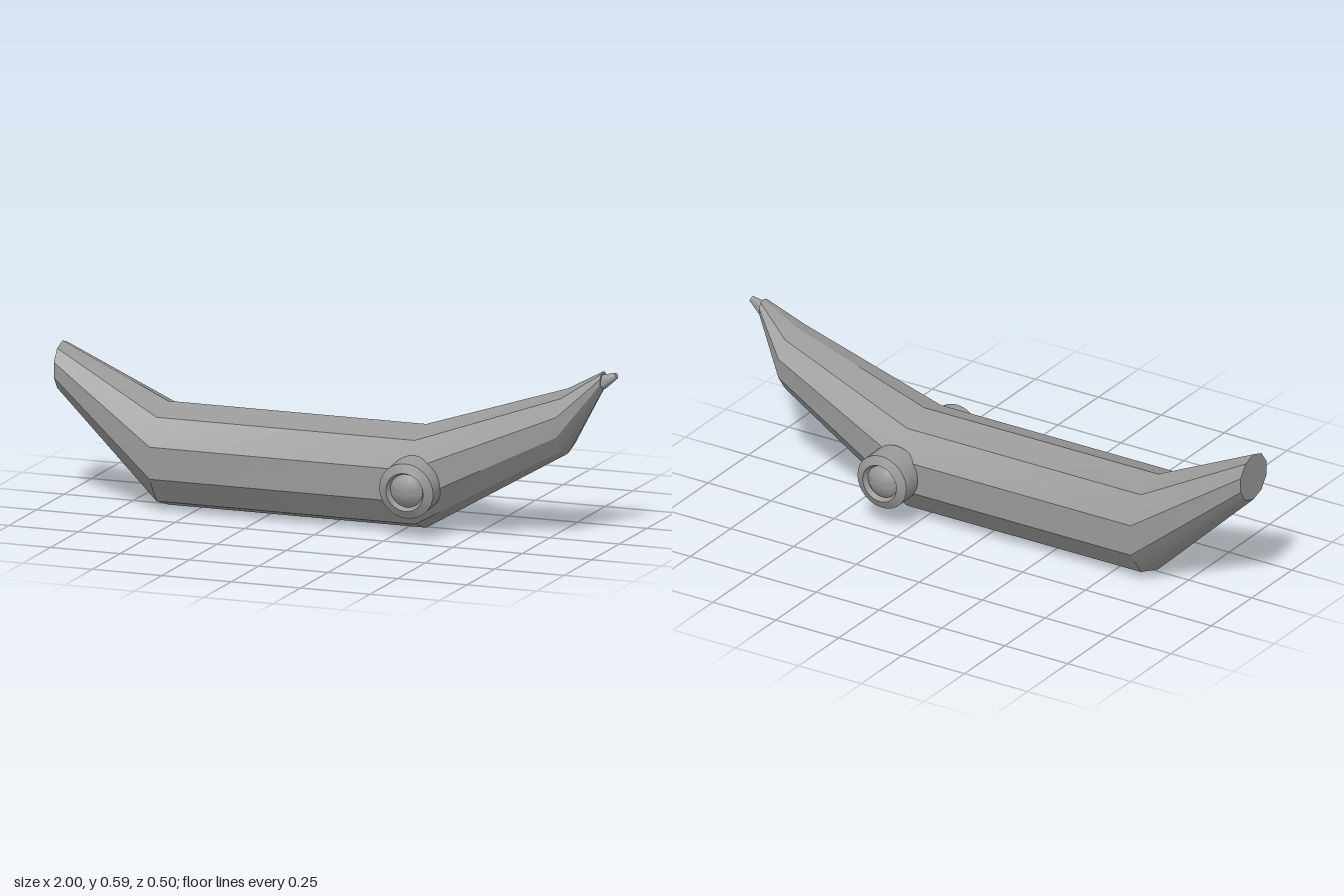
import * as THREE from 'three';
import { toCreasedNormals } from 'three/addons/utils/BufferGeometryUtils.js';

const SIDES = 10;
const CENTRE_Z = 0.012;
const CREASE = 0.55;

// Hull stations from stern to nose: x, centre height, radius
const STATIONS = [
  [-1.0, 0.447, 0.084],
  [-0.62, 0.178, 0.178],
  [0.31, 0.178, 0.178],
  [0.82, 0.41, 0.112],
  [0.947, 0.56, 0.031],
];

// Ten-sided rings joined in a loop, closed at both ends
function hullGeometry() {
  const positions = [];
  const point = ([x, y, r], j) => {
    const a = -Math.PI / 2 + (j / SIDES) * Math.PI * 2;
    return [x, y + r * Math.sin(a), CENTRE_Z + r * Math.cos(a)];
  };
  const tri = (a, b, c) => positions.push(...a, ...b, ...c);
  const first = STATIONS[0];
  const last = STATIONS[STATIONS.length - 1];
  for (let j = 0; j < SIDES; j++) {
    const k = (j + 1) % SIDES;
    for (let i = 0; i < STATIONS.length - 1; i++) {
      const s = STATIONS[i], t = STATIONS[i + 1];
      tri(point(s, j), point(t, j), point(t, k));
      tri(point(s, j), point(t, k), point(s, k));
    }
    tri([first[0], first[1], CENTRE_Z], point(first, j), point(first, k));
    tri([last[0], last[1], CENTRE_Z], point(last, k), point(last, j));
  }
  const geometry = new THREE.BufferGeometry();
  geometry.setAttribute('position', new THREE.Float32BufferAttribute(positions, 3));
  return toCreasedNormals(geometry, CREASE);
}

// Bevelled drum with a recessed dome, its outer face at local y = 0
function podGeometry() {
  const profile = [
    [0, -0.106], [0.097, -0.106], [0.097, -0.015], [0.067, 0],
    [0.058, -0.018], [0.045, -0.006], [0.022, 0.003], [0, 0.006],
  ].map(([r, y]) => new THREE.Vector2(r, y));
  return toCreasedNormals(new THREE.LatheGeometry(profile, 32), CREASE);
}

export function createModel() {
  const model = new THREE.Group();
  const grey = new THREE.MeshStandardMaterial({ color: 0x999999 });
  grey.name = 'hull grey';
  const add = (name, geometry) => {
    const mesh = new THREE.Mesh(geometry, grey);
    mesh.name = name;
    model.add(mesh);
    return mesh;
  };

  add('hull', hullGeometry());

  // Tapered nozzle at the nose, angled upward
  const from = new THREE.Vector3(0.942, 0.554, CENTRE_Z);
  const to = new THREE.Vector3(0.995, 0.581, CENTRE_Z);
  const nozzle = add('noseNozzle', toCreasedNormals(
    new THREE.CylinderGeometry(0.01, 0.026, from.distanceTo(to), 16), 0.8));
  nozzle.position.copy(from).lerp(to, 0.5);
  nozzle.rotation.z = Math.atan2(to.y - from.y, to.x - from.x) - Math.PI / 2;

  // Side pods, each drooping slightly outward
  const pod = podGeometry();
  const leftPod = add('frontPod', pod);
  leftPod.position.set(0.323, 0.171, 0.243);
  leftPod.rotation.x = Math.PI / 2 + 0.11;
  const rightPod = add('backPod', pod);
  rightPod.position.set(0.323, 0.174, -0.243);
  rightPod.rotation.x = -Math.PI / 2 - 0.025;

  return model;
}
